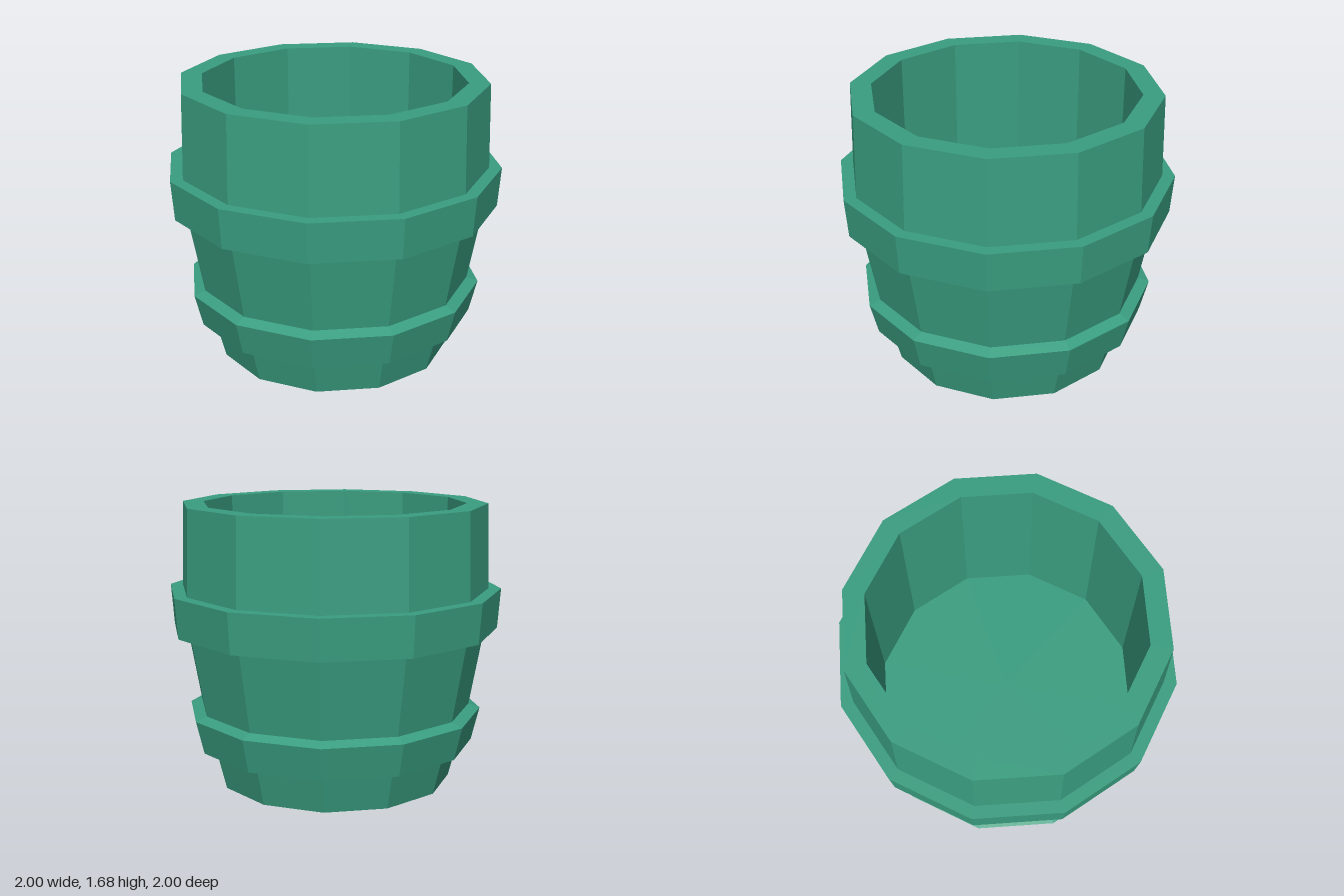
import * as THREE from 'three';

const SIDES = 12;

export function createModel() {
  const group = new THREE.Group();
  group.name = 'barrelTub';
  const material = new THREE.MeshStandardMaterial({ color: 0x3a9e80, flatShading: true });

  // Each part is a twelve-sided turning of [radius, height] points.
  const turn = (name, profile) => {
    const points = profile.map(([r, y]) => new THREE.Vector2(r, y));
    const mesh = new THREE.Mesh(new THREE.LatheGeometry(points, SIDES), material);
    mesh.name = name;
    group.add(mesh);
  };

  // Tub: underside, tapered outer wall, rim, straight inner wall, floor
  turn('tub', [
    [0, 0], [0.71, 0], [0.825, 0.46], [0.91, 0.94], [0.925, 1.175],
    [0.91, 1.68], [0.785, 1.68], [0.785, 0.6], [0, 0.6],
  ]);

  // Lower hoop with a bevelled top edge
  turn('lowerHoop', [[0.76, 0.235], [0.845, 0.235], [0.893, 0.435], [0.82, 0.462]]);

  // Upper hoop, wider and square-edged
  turn('upperHoop', [[0.9, 0.937], [0.983, 0.937], [1, 1.175], [0.92, 1.175]]);

  return group;
}
